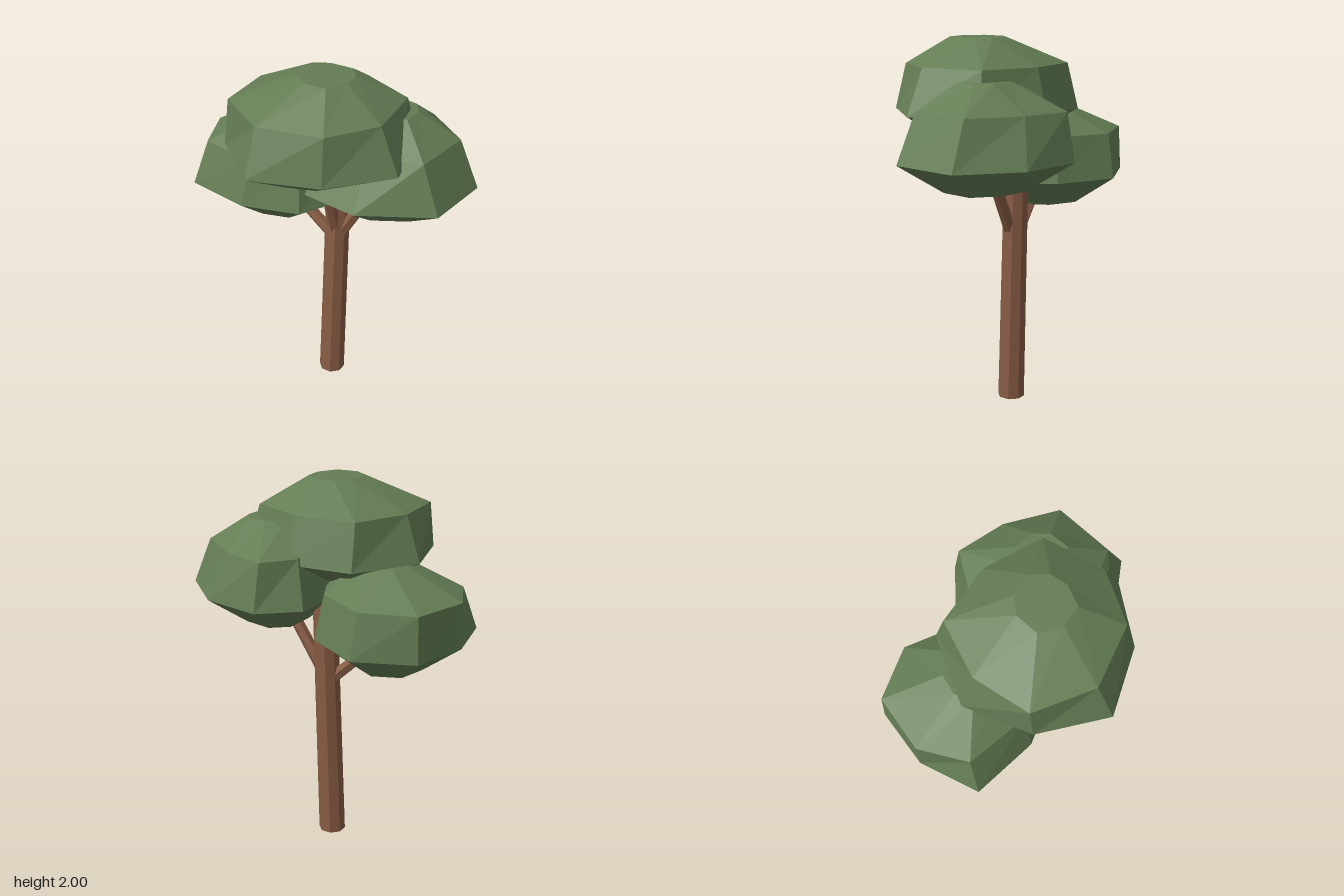
import * as THREE from 'three';

const leafGreen = new THREE.MeshStandardMaterial({ color: 0x647d54, flatShading: true });
leafGreen.name = 'leaf green';
const barkBrown = new THREE.MeshStandardMaterial({ color: 0x895d45, flatShading: true });
barkBrown.name = 'bark brown';

// Faceted leaf clump: rings of [x, z] points stacked at the given heights, capped at both ends.
function leafClump(name, heights, wide, shoulder, crown, centre, shrink) {
  const [cx, cz] = centre;
  const base = wide.map(([x, z]) => [cx + (x - cx) * shrink, cz + (z - cz) * shrink]);
  const rings = [base, wide, shoulder, crown].map((ring, k) =>
    ring.map(([x, z]) => new THREE.Vector3(x, heights[k], z)));
  const mid = ring => ring.reduce((s, p) => s.add(p), new THREE.Vector3()).divideScalar(ring.length);
  const bottom = mid(rings[0]);
  const top = mid(rings[3]);
  const n = wide.length;
  const points = [];
  for (let i = 0; i < n; i++) {
    const j = (i + 1) % n;
    for (let k = 0; k < 3; k++) {
      const lo = rings[k], hi = rings[k + 1];
      points.push(lo[j], lo[i], hi[i], lo[j], hi[i], hi[j]);
    }
    points.push(top, rings[3][j], rings[3][i], bottom, rings[0][i], rings[0][j]);
  }
  const geometry = new THREE.BufferGeometry().setFromPoints(points);
  geometry.computeVertexNormals();
  const mesh = new THREE.Mesh(geometry, leafGreen);
  mesh.name = name;
  return mesh;
}

// Tapered limb from a to b, its ends kept level by shearing.
function limb(name, a, b, r0, r1, sides) {
  const [dx, dy, dz] = b.map((v, i) => v - a[i]);
  const geometry = new THREE.CylinderGeometry(r1, r0, dy, sides);
  geometry.rotateY(Math.PI / sides);
  geometry.translate(0, dy / 2, 0);
  geometry.applyMatrix4(new THREE.Matrix4().set(
    1, dx / dy, 0, a[0],
    0, 1, 0, a[1],
    0, dz / dy, 1, a[2],
    0, 0, 0, 1));
  const mesh = new THREE.Mesh(geometry, barkBrown);
  mesh.name = name;
  return mesh;
}

// Branch with ends square to its direction.
function branch(name, a, b, r0, r1) {
  const start = new THREE.Vector3(...a);
  const dir = new THREE.Vector3(...b).sub(start);
  const geometry = new THREE.CylinderGeometry(r1, r0, dir.length(), 6);
  geometry.translate(0, dir.length() / 2, 0);
  const mesh = new THREE.Mesh(geometry, barkBrown);
  mesh.position.copy(start);
  mesh.quaternion.setFromUnitVectors(new THREE.Vector3(0, 1, 0), dir.normalize());
  mesh.name = name;
  return mesh;
}

export function createModel() {
  const tree = new THREE.Group();
  tree.name = 'tree';

  // Trunk and branches
  tree.add(
    limb('trunk', [-0.005, 0, -0.105], [0.01, 1.4, -0.145], 0.074, 0.066, 8),
    branch('rightBranch', [-0.01, 0.93, -0.13], [-0.3, 1.2, -0.09], 0.035, 0.03),
    branch('leftBranch', [0.04, 0.98, -0.125], [0.26, 1.35, -0.15], 0.035, 0.03),
    branch('frontBranch', [0.01, 0.98, -0.11], [0.02, 1.52, 0.06], 0.035, 0.03),
  );

  // Upper leaf clump
  tree.add(leafClump('topCanopy', [1.46, 1.62, 1.86, 2],
    [[-0.07, 0.585], [-0.375, 0.34], [-0.475, -0.02], [-0.27, -0.35],
      [0.09, -0.38], [0.44, -0.22], [0.535, 0.165], [0.285, 0.455]],
    [[-0.075, 0.48], [-0.365, 0.31], [-0.39, -0.005], [-0.255, -0.29],
      [0.07, -0.315], [0.38, -0.19], [0.425, 0.15], [0.26, 0.4]],
    [[0.02, 0.205], [-0.08, 0.13], [-0.07, 0], [0, -0.07],
      [0.13, -0.075], [0.19, 0], [0.195, 0.09], [0.14, 0.195]],
    [0, 0.1], 0.44));

  // Lower clump on the model's right
  tree.add(leafClump('rightCanopy', [1.08, 1.24, 1.48, 1.62],
    [[-0.33, 0.295], [-0.69, 0.24], [-0.755, -0.09], [-0.67, -0.4],
      [-0.365, -0.525], [-0.06, -0.36], [0.11, -0.06], [-0.02, 0.2]],
    [[-0.3, 0.23], [-0.64, 0.16], [-0.75, -0.09], [-0.66, -0.39],
      [-0.38, -0.48], [-0.1, -0.33], [0.04, -0.06], [-0.05, 0.15]],
    [[-0.31, 0.04], [-0.42, 0.01], [-0.45, -0.085], [-0.41, -0.19],
      [-0.29, -0.24], [-0.19, -0.19], [-0.16, -0.09], [-0.2, 0]],
    [-0.345, -0.085], 0.47));

  // Middle clump on the model's left
  tree.add(leafClump('leftCanopy', [1.25, 1.41, 1.66, 1.8],
    [[0.36, 0.285], [0.05, 0.25], [-0.05, -0.08], [-0.04, -0.43],
      [0.15, -0.59], [0.48, -0.53], [0.755, -0.29], [0.72, 0.08]],
    [[0.34, 0.13], [0.08, 0.12], [0.01, -0.1], [0.02, -0.38],
      [0.145, -0.54], [0.4, -0.46], [0.645, -0.28], [0.61, 0.05]],
    [[0.31, -0.04], [0.22, -0.05], [0.18, -0.13], [0.19, -0.24],
      [0.28, -0.285], [0.39, -0.265], [0.445, -0.19], [0.44, -0.08]],
    [0.3, -0.14], 0.47));

  return tree;
}
